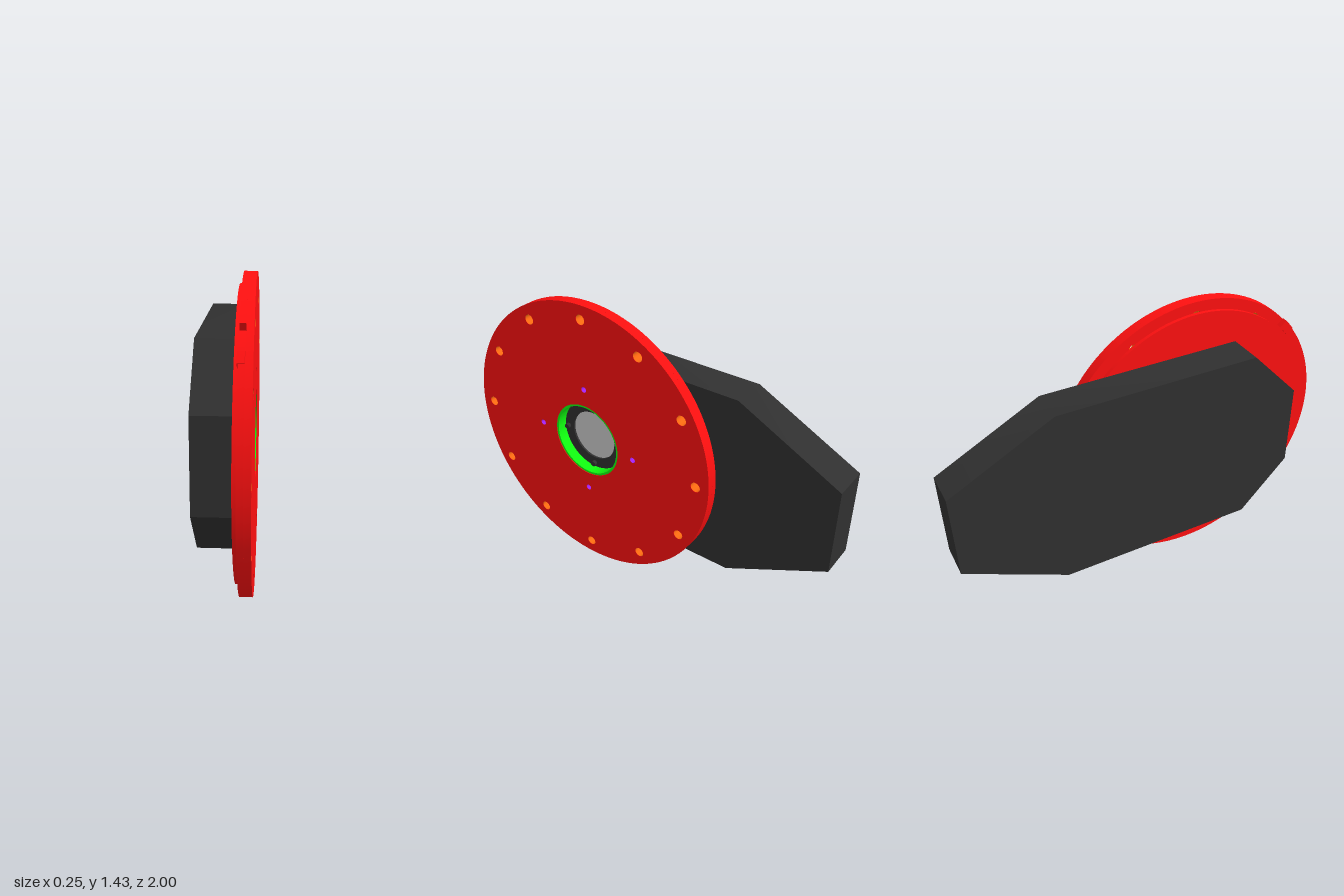
import * as THREE from 'three';
import { toCreasedNormals } from 'three/addons/utils/BufferGeometryUtils.js';

const mat = (color) => new THREE.MeshStandardMaterial({ color, side: THREE.DoubleSide });
const red = mat(0xff1010), dark = mat(0x303030), green = mat(0x10ff10);
const orange = mat(0xff6a10), purple = mat(0xa020f0), grey = mat(0xcccccc);
const R = 0.713, CENTRE_Z = 0.287;
const BOLT_R = 0.642, PIN_R = 0.285, BORE = 0.195;

// Shapes are drawn in a plane where u = -z and v = y, then extruded along +x.
function slab(name, shape, x0, x1, material) {
  let g = new THREE.ExtrudeGeometry(shape, { depth: x1 - x0, bevelEnabled: false, curveSegments: 64 });
  g = toCreasedNormals(g, 0.5);
  g.translate(0, 0, x0);
  g.rotateY(Math.PI / 2);
  const m = new THREE.Mesh(g, material);
  m.name = name;
  return m;
}

// Cylinder lying along x
function rod(name, r, x0, x1, u, v, material, open = false, seg = 24) {
  const g = new THREE.CylinderGeometry(r, r, x1 - x0, seg, 1, open);
  g.rotateZ(-Math.PI / 2);
  g.translate((x0 + x1) / 2, v, -u);
  const m = new THREE.Mesh(g, material);
  m.name = name;
  return m;
}

const hole = (u, v, r) => new THREE.Path().absarc(u, v, r, 0, Math.PI * 2, true);
const ringPoints = (n, r) => Array.from({ length: n }, (_, i) => {
  const a = (i / n) * Math.PI * 2;
  return [r * Math.cos(a), r * Math.sin(a)];
});
const bolts = ringPoints(12, BOLT_R), pins = ringPoints(4, PIN_R);

function disc(r, bore, withBolts, withPins) {
  const s = new THREE.Shape().absarc(0, 0, r, 0, Math.PI * 2, false);
  return drill(s, bore, withBolts, withPins);
}

function drill(s, bore, withBolts, withPins) {
  s.holes.push(hole(0, 0, bore));
  if (withBolts) bolts.forEach(([u, v]) => s.holes.push(hole(u, v, 0.025)));
  if (withPins) pins.forEach(([u, v]) => s.holes.push(hole(u, v, 0.015)));
  return s;
}

// Angle measured from straight up toward the front, as an angle in the u,v plane
const rimAngle = (deg) => Math.PI / 2 + THREE.MathUtils.degToRad(deg);

export function createModel() {
  const model = new THREE.Group();
  model.name = 'encoderDiscAssembly';

  // Eight-sided housing, longer taper at the rear
  const outline = [[-0.75, 0.505], [-0.5, 0.25], [0.5, 0.25], [1, 0.505],
    [1, 0.925], [0.5, 1.18], [-0.5, 1.18], [-0.75, 0.925]];
  const housing = new THREE.Shape(outline.map(([u, v]) => new THREE.Vector2(u, v)));
  model.add(slab('housing', housing, -0.125, 0.05, dark));

  const wheel = new THREE.Group();
  wheel.name = 'wheel';
  wheel.position.set(0, R, CENTRE_Z);
  model.add(wheel);

  // Faceplate, notched rim layer behind it, and smaller backing plate
  wheel.add(slab('faceplate', disc(R, BORE, true, true), 0.095, 0.125, red));
  const a0 = rimAngle(37.5), a1 = rimAngle(52);
  const rim = new THREE.Shape();
  rim.absarc(0, 0, R, a1, a0 + Math.PI * 2, false);
  rim.absarc(0, 0, 0.672, a0, a1, false);
  rim.closePath();
  wheel.add(slab('notchedRim', drill(rim, BORE, true, true), 0.068, 0.095, red));
  wheel.add(slab('backingPlate', disc(0.66, BORE, false, true), 0.05, 0.068, red));

  // Small block filling the lower half of the rim notch
  const block = new THREE.Shape();
  block.absarc(0, 0, R + 0.003, rimAngle(46.5), a1, false);
  block.absarc(0, 0, 0.672, a1, rimAngle(46.5), true);
  wheel.add(slab('notchBlock', block, 0.064, 0.093, red));

  // Coloured linings of the bolt and pin holes
  bolts.forEach(([u, v]) => wheel.add(rod('boltHoleLining', 0.0245, 0.069, 0.1245, u, v, orange, true)));
  pins.forEach(([u, v]) => {
    wheel.add(rod('pinHoleLining', 0.0146, 0.052, 0.1245, u, v, purple, true, 16));
    wheel.add(rod('pinEnd', 0.0145, 0.05, 0.054, u, v, grey, false, 16));
  });

  // Hub: green sleeve, dark collar with four screws, recessed shaft end
  wheel.add(slab('hubSleeve', disc(BORE, 0.184), 0.05, 0.122, green));
  wheel.add(slab('hubCollar', disc(0.184, 0.13), 0.05, 0.068, dark));
  ringPoints(4, 0.163).forEach(([u, v]) => wheel.add(rod('collarScrew', 0.014, 0.066, 0.085, u, v, dark, false, 16)));
  wheel.add(rod('shaftEnd', 0.13, 0.05, 0.058, 0, 0, grey, false, 48));

  return model;
}
